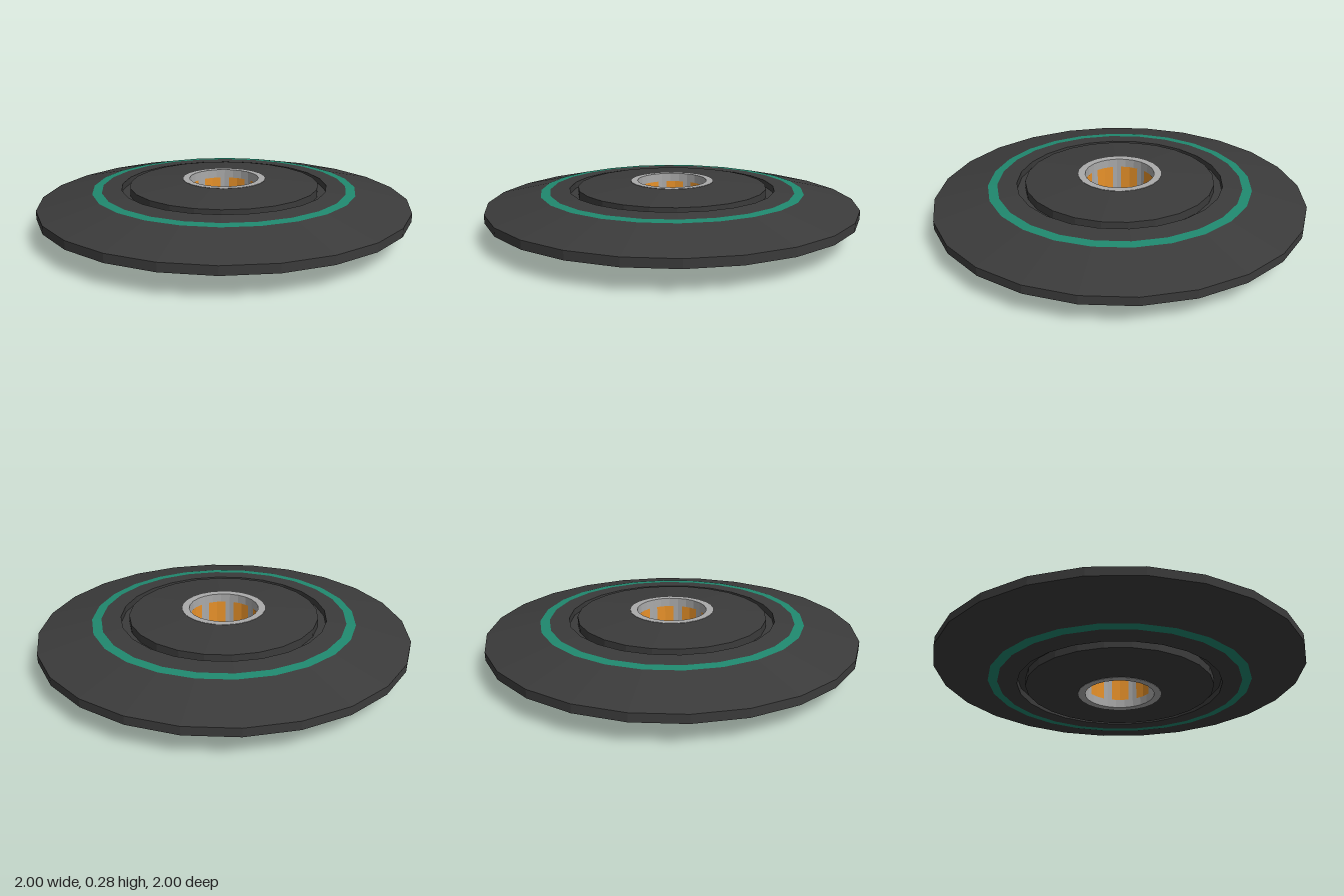
import * as THREE from 'three';

const SIDES = 24;
const MID = 0.14; // half of the total height

const material = (name, color) => {
  const m = new THREE.MeshStandardMaterial({ color, flatShading: true });
  m.name = name;
  return m;
};

export function createModel() {
  const black = material('charcoal', 0x3b3b3b);
  const teal = material('teal', 0x20896f);
  const steel = material('steel', 0xaaaaaa);
  const amber = material('amber', 0xe8922a);
  amber.side = THREE.DoubleSide;

  const group = new THREE.Group();
  group.name = 'disc';

  const add = (name, geometry, mat) => {
    const mesh = new THREE.Mesh(geometry, mat);
    mesh.name = name;
    group.add(mesh);
    return mesh;
  };

  // Revolves [radius, height] points, listed from outside inwards, on one face of the disc
  const face = (name, points, mat, top) => {
    const pts = points.map(([r, h]) => new THREE.Vector2(r, top ? MID + h : MID - h));
    if (!top) pts.reverse();
    add(name, new THREE.LatheGeometry(pts, SIDES), mat);
  };

  // Upper and lower faces mirror each other
  for (const top of [true, false]) {
    const side = top ? 'upper' : 'lower';
    face(side + 'Rim', [[1, 0], [1, 0.0225], [0.71, 0.091]], black, top);
    face(side + 'Stripe', [[0.71, 0.091], [0.66, 0.095]], teal, top);
    // Inner plate with the groove around the raised hub
    face(side + 'Hub', [
      [0.66, 0.095], [0.555, 0.102], [0.555, 0.067],
      [0.51, 0.067], [0.51, 0.112], [0.225, 0.138],
    ], black, top);
    // Collar around the centre hole, down to the middle of the bore
    face(side + 'Collar', [[0.225, 0.138], [0.225, 0.14], [0.187, 0.14], [0.187, 0]], steel, top);
  }

  // Eight amber panels lining the bore
  const arc = Math.PI / 6;
  for (let i = 0; i < 8; i++) {
    const start = (i + 0.5) * Math.PI / 4 - arc / 2;
    const panel = new THREE.CylinderGeometry(0.184, 0.184, 0.19, 2, 1, true, start, arc);
    add('borePanel', panel, amber).position.y = MID;
  }

  return group;
}
